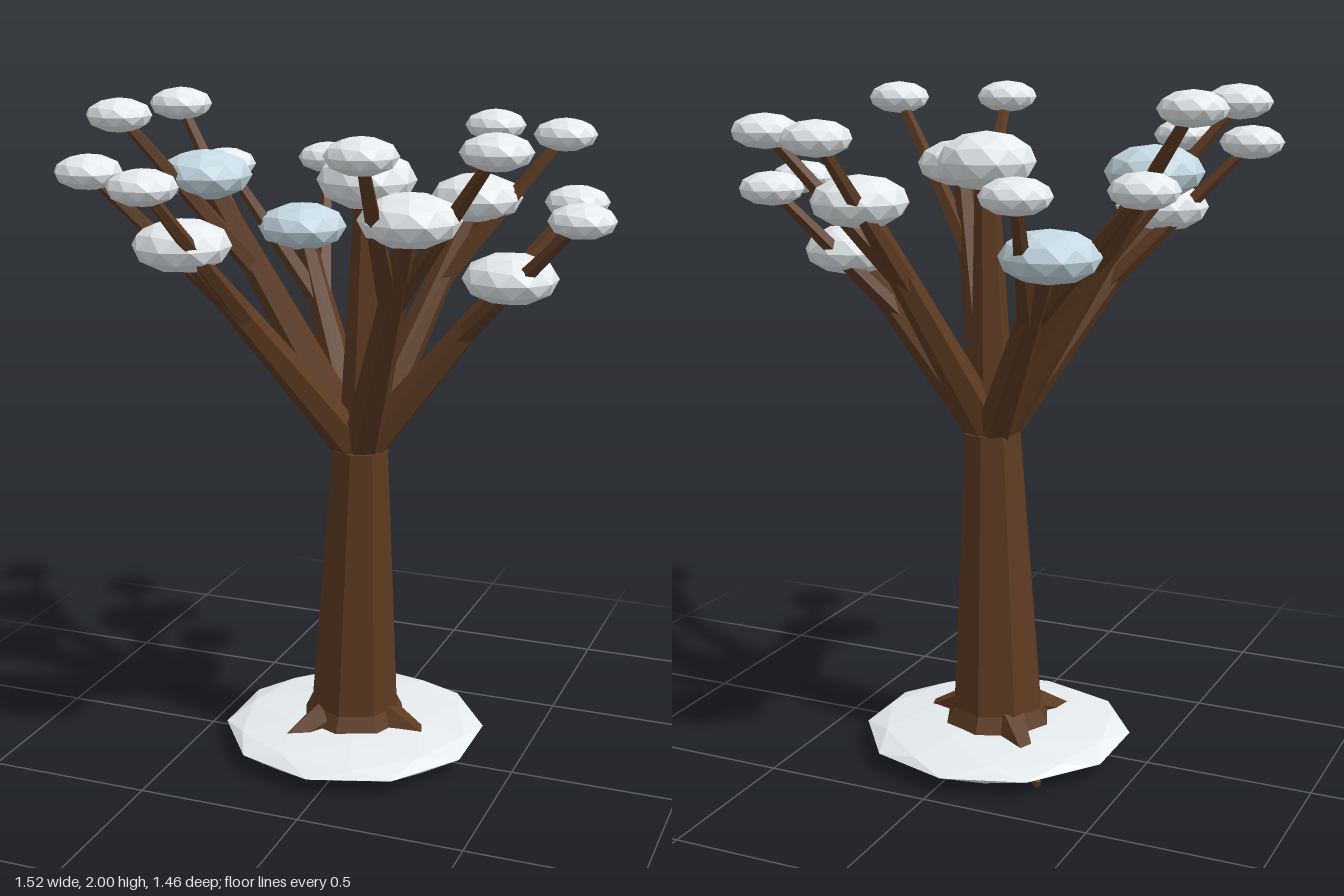
import * as THREE from 'three';

const bark = new THREE.MeshStandardMaterial({ color: 0x5c3a21, flatShading: true });
const snow = new THREE.MeshStandardMaterial({ color: 0xe6ebee, flatShading: true });
const ice = new THREE.MeshStandardMaterial({ color: 0xc6dae4, flatShading: true });

const V = (x, y, z) => new THREE.Vector3(x, y, z);

// Low-poly ball with a vertex pointing up, squashed to the given radii
function ball(name, pos, r, ry, mat) {
  const geo = new THREE.IcosahedronGeometry(1, 1);
  geo.rotateX(-Math.atan((1 + Math.sqrt(5)) / 2)).rotateY(Math.PI / 2).scale(r, ry, r);
  geo.computeVertexNormals();
  const mesh = new THREE.Mesh(geo, mat);
  mesh.name = name;
  mesh.position.copy(pos);
  return mesh;
}

// Tapered limb running between two points
function limb(name, from, to, r0, r1, sides = 6) {
  const dir = to.clone().sub(from);
  const mesh = new THREE.Mesh(new THREE.CylinderGeometry(r1, r0, dir.length(), sides), bark);
  mesh.name = name;
  mesh.position.copy(from).addScaledVector(dir, 0.5);
  mesh.quaternion.setFromUnitVectors(V(0, 1, 0), dir.normalize());
  return mesh;
}

export function createModel() {
  const tree = new THREE.Group();
  tree.name = 'snowyTree';
  const base = V(-0.03, 0, -0.05);
  const crotch = V(0, 0.96, -0.02);

  // Snow mound around the foot
  tree.add(ball('snowMound', V(base.x, 0.055, base.z), 0.405, 0.043, snow));

  // Trunk with a flared foot, leaning slightly toward the crotch
  tree.add(limb('trunk', V(base.x, 0.12, base.z), V(0, 0.98, -0.02), 0.142, 0.088, 8));
  tree.add(limb('trunkFlare', V(base.x, 0.04, base.z), V(base.x, 0.14, base.z), 0.19, 0.141, 8));

  // Roots reaching down through the snow
  for (const deg of [8, 126, 226]) {
    const a = THREE.MathUtils.degToRad(deg);
    const at = (r, y) => V(base.x + r * Math.cos(a), y, base.z + r * Math.sin(a));
    tree.add(limb('root', at(0.08, 0.12), at(0.345, 0.015), 0.06, 0.012, 5));
  }

  // Central leader
  const crown = V(0.02, 1.78, -0.02);
  tree.add(limb('leader', crotch, crown, 0.068, 0.034));
  tree.add(ball('crownSnow', crown, 0.145, 0.087, snow));

  // Outer boughs: [snow clump position], height of the twig ends, two twig ends as [x, z], colour
  const boughs = [
    [V(-0.33, 1.57, -0.38), 1.755, [[-0.345, -0.64], [-0.59, -0.38]], ice],
    [V(-0.49, 1.77, -0.02), 1.955, [[-0.66, -0.215], [-0.67, 0.165]], ice],
    [V(-0.38, 1.63, 0.37), 1.825, [[-0.64, 0.41], [-0.36, 0.63]], snow],
    [V(0.28, 1.735, 0.36), 1.93, [[0.24, 0.615], [0.53, 0.42]], snow],
    [V(0.435, 1.51, -0.08), 1.705, [[0.665, 0.035], [0.57, -0.3]], snow],
    [V(0.24, 1.69, -0.38), 1.88, [[0.22, -0.64], [0.49, -0.455]], snow],
  ];
  for (const [tip, twigY, ends, mat] of boughs) {
    const bough = new THREE.Group();
    bough.name = 'bough';
    bough.add(limb('branch', crotch, tip, 0.062, 0.03));
    bough.add(ball('snowClump', tip, 0.14, 0.075, mat));
    const fork = crotch.clone().lerp(tip, 0.64);
    for (const [x, z] of ends) {
      const end = V(x, twigY, z);
      bough.add(limb('twig', fork, end, 0.032, 0.016, 5));
      bough.add(ball('twigSnow', end, 0.096, 0.05, snow));
    }
    tree.add(bough);
  }
  return tree;
}
